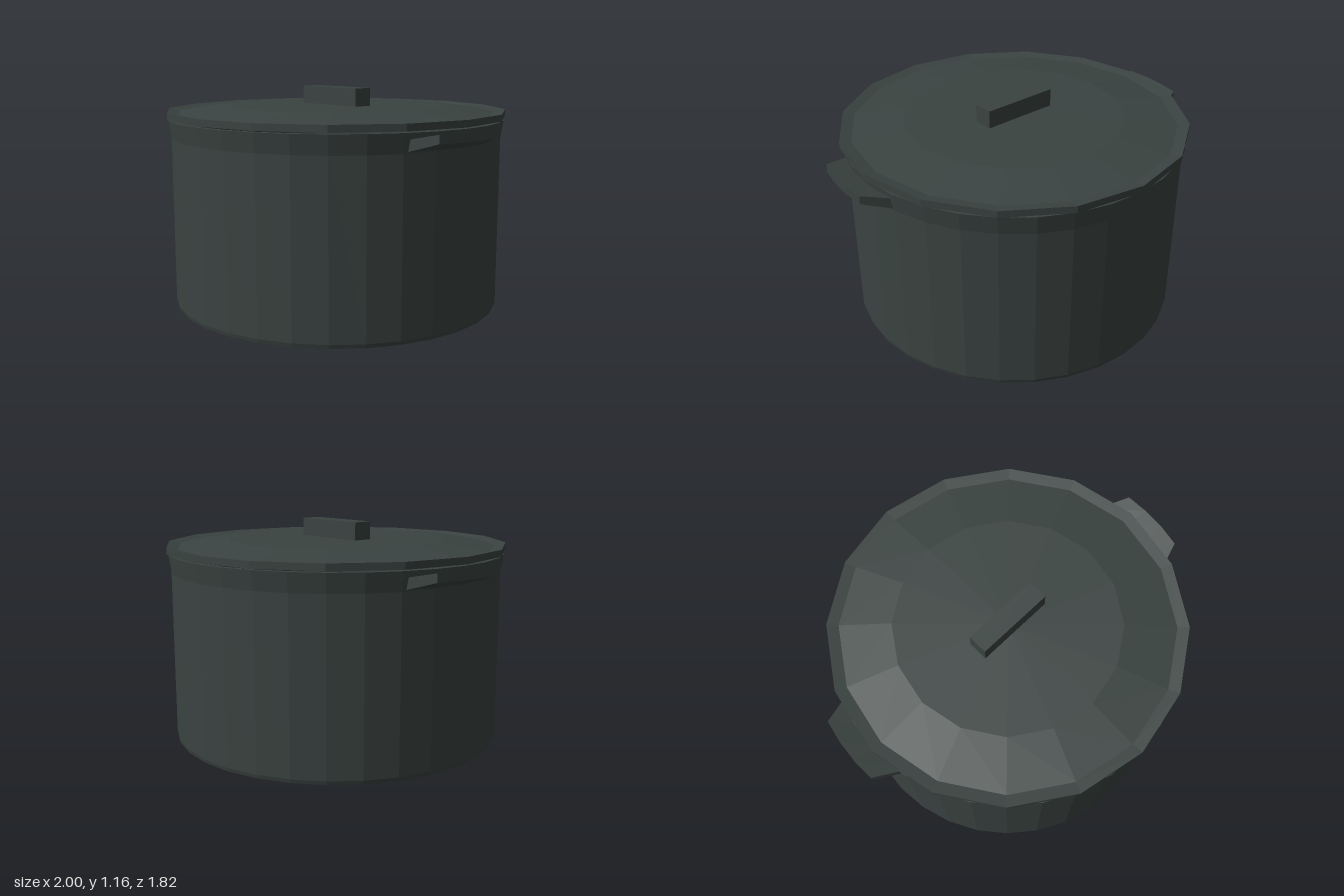
import * as THREE from 'three';

const iron = new THREE.MeshStandardMaterial({ color: 0x3a4341 });
iron.name = 'dark iron';

// Faceted mesh: split the vertices so each face has its own normal
function facetedMesh(name, geometry) {
  const flat = geometry.index ? geometry.toNonIndexed() : geometry;
  flat.computeVertexNormals();
  const mesh = new THREE.Mesh(flat, iron);
  mesh.name = name;
  return mesh;
}

function turned(name, profile, sides) {
  const points = profile.map(([r, y]) => new THREE.Vector2(r, y));
  return facetedMesh(name, new THREE.LatheGeometry(points, sides));
}

// Curved grip swept around the pot, tapering and rising outwards
function handleGeometry() {
  const steps = 3, middle = 5.4;
  // radius, height, half of the angle covered (degrees)
  const section = [[0.87, 0.962, 16.2], [1.0, 0.995, 10.3], [1.0, 0.952, 10.3], [0.87, 0.905, 16.2]];
  const positions = [], index = [];
  for (let k = 0; k <= steps; k++) {
    for (const [r, y, half] of section) {
      const a = THREE.MathUtils.degToRad(middle + half * (2 * k / steps - 1));
      positions.push(r * Math.cos(a), y, r * Math.sin(a));
    }
  }
  for (let k = 0; k < steps; k++) {
    for (let j = 0; j < 4; j++) {
      const a = k * 4 + j, d = k * 4 + (j + 1) % 4, b = a + 4, c = d + 4;
      index.push(a, b, c, a, c, d);
    }
  }
  const e = steps * 4;
  index.push(0, 1, 2, 0, 2, 3, e, e + 2, e + 1, e, e + 3, e + 2);
  const geometry = new THREE.BufferGeometry();
  geometry.setAttribute('position', new THREE.Float32BufferAttribute(positions, 3));
  geometry.setIndex(index);
  return geometry;
}

export function createModel() {
  const model = new THREE.Group();
  model.name = 'cookingPot';

  // Pot wall with a slightly flared rim and a hollow inside
  model.add(turned('potBody', [
    [0, 0], [0.875, 0], [0.88, 0.02], [0.88, 0.9], [0.895, 0.997],
    [0.865, 0.997], [0.85, 0.9], [0.85, 0.04], [0, 0.04],
  ], 32));

  // Lid with a raised edge, shallow groove and flat crown
  model.add(turned('lid', [
    [0, 1.005], [0.91, 1.005], [0.91, 1.04], [0.85, 1.029], [0.58, 1.063], [0, 1.065],
  ], 16));

  // Bar grip on the lid
  const grip = facetedMesh('lidGrip', new THREE.BoxGeometry(0.414, 0.1, 0.106));
  grip.position.y = 1.108;
  model.add(grip);

  // Two side handles, half a turn apart
  ['leftHandle', 'rightHandle'].forEach((name, i) => {
    const handle = facetedMesh(name, handleGeometry());
    handle.rotation.y = i * Math.PI;
    model.add(handle);
  });

  return model;
}
